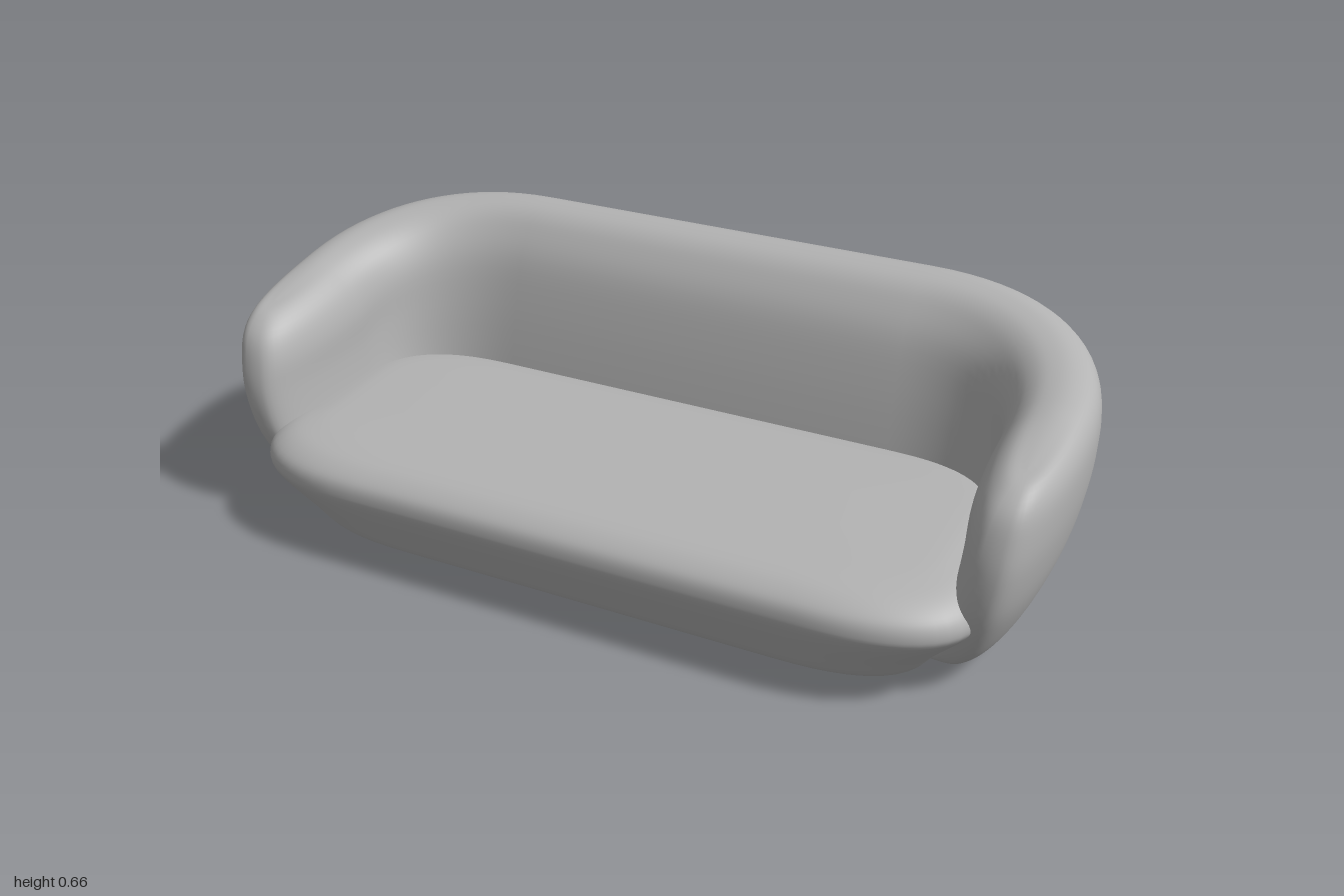
import * as THREE from 'three';
import { mergeVertices } from 'three/addons/utils/BufferGeometryUtils.js';

// Skin a list of closed rings (equal point counts) into a smooth surface
function skin(rings) {
  const n = rings[0].length, pos = [], idx = [];
  rings.forEach(r => r.forEach(p => pos.push(p.x, p.y, p.z)));
  for (let j = 0; j < rings.length - 1; j++) {
    for (let i = 0; i < n; i++) {
      const k = (i + 1) % n;
      const a = j * n + i, b = j * n + k, c = a + n, d = b + n;
      idx.push(a, c, b, b, c, d);
    }
  }
  let g = new THREE.BufferGeometry();
  g.setAttribute('position', new THREE.Float32BufferAttribute(pos, 3));
  g.setIndex(idx);
  g = mergeVertices(g, 1e-4);
  g.computeVertexNormals();
  return g;
}

const mix = THREE.MathUtils.lerp;
const pow = (v, e) => Math.sign(v) * Math.pow(Math.abs(v), e);

// Shell levels, bottom to top.
// Backrest: [y, outer z, inner z]; arm: [y, outer x, inner x, front end z]
const BACK = [
  [0, -0.225, -0.12], [0.02, -0.255, -0.13], [0.14, -0.33, -0.16],
  [0.30, -0.402, -0.185], [0.43, -0.432, -0.21], [0.54, -0.439, -0.24],
  [0.61, -0.434, -0.28], [0.645, -0.418, -0.315], [0.66, -0.385, -0.355],
];
const ARM = [
  [0.02, 0.82, 0.70, 0.17], [0.05, 0.87, 0.72, 0.235], [0.12, 0.92, 0.75, 0.28],
  [0.22, 0.965, 0.785, 0.318], [0.32, 0.99, 0.80, 0.328], [0.40, 0.999, 0.805, 0.318],
  [0.46, 0.995, 0.825, 0.295], [0.50, 0.975, 0.86, 0.25], [0.515, 0.94, 0.90, 0.2],
];
const XC = 0.5, ZC = 0.02; // where the corner bend starts and ends

// Section of the shell: bend is the corner angle, reach runs 0..1 along the arm
function shellSection(bend, reach, side) {
  const e = 2 / 2.3;
  const cx = pow(Math.sin(bend), e), cz = pow(Math.cos(bend), e);
  const zTop = reach > 0 ? ZC + reach * 0.18 : ZC - cz * (ZC + 0.37);
  const w = Math.pow(THREE.MathUtils.clamp((zTop + 0.37) / 0.57, 0, 1), 0.9);
  const squash = Math.pow(Math.max(0, 1 - reach * reach), 0.35);
  const point = (k, inner) => {
    const [yb, zo, zi] = BACK[k], [ya, xo, xi, end] = ARM[k];
    const mid = (xo + xi) / 2;
    const armX = mid + ((inner ? xi : xo) - mid) * squash;
    const x = XC + cx * (armX - XC);
    const z = reach > 0 ? mix(ZC, end, reach) : ZC - cz * (ZC - (inner ? zi : zo));
    return new THREE.Vector3(side * x, mix(yb, ya, w), z);
  };
  const loop = [];
  for (let k = 0; k < BACK.length; k++) loop.push(point(k, false));
  for (let k = BACK.length - 1; k >= 0; k--) loop.push(point(k, true));
  const curve = new THREE.CatmullRomCurve3(loop, true, 'catmullrom', 0.5);
  return curve.getPoints(72).slice(0, 72);
}

function shellGeometry() {
  const half = side => {
    const list = [];
    for (let i = 16; i > 0; i--) {
      list.push(shellSection(Math.PI / 2, i === 16 ? 1 : Math.sin((i / 16) * Math.PI / 2), side));
    }
    for (let i = 20; i >= 0; i--) list.push(shellSection((i / 20) * Math.PI / 2, 0, side));
    return list;
  };
  return skin([...half(1), ...half(-1).reverse()]);
}

// Seat profile: [half width, y, front z]
const SEAT = [
  [0, 0.02, 0.1], [0.4, 0.02, 0.24], [0.70, 0.022, 0.34], [0.75, 0.026, 0.365],
  [0.80, 0.09, 0.40], [0.865, 0.165, 0.434], [0.88, 0.2, 0.44], [0.87, 0.235, 0.431],
  [0.84, 0.262, 0.40], [0.79, 0.275, 0.36], [0.70, 0.281, 0.30], [0.4, 0.285, 0.2], [0, 0.286, 0.1],
];

function seatGeometry() {
  const profile = new THREE.CatmullRomCurve3(
    SEAT.map(p => new THREE.Vector3(...p)), false, 'catmullrom', 0.5).getPoints(60);
  const rings = profile.map(({ x, y, z }) => {
    const a = Math.max(0, x), depth = Math.max(0, z - 0.1);
    const xc = Math.min(0.55, a * 0.62), zc = depth * 0.42;
    const slope = 0.05 * (1 - y / 0.14);
    const ring = [];
    for (let q = 0; q < 4; q++) {
      const sx = q === 0 || q === 3 ? 1 : -1, sz = q < 2 ? 1 : -1;
      for (let i = 0; i <= 12; i++) {
        const t = (q + i / 12) * Math.PI / 2;
        const px = sx * xc + (a - xc) * pow(Math.cos(t), 0.8);
        const pz = sz * zc + (depth - zc) * pow(Math.sin(t), 0.8);
        ring.push(new THREE.Vector3(px, y + slope * pz, 0.1 + pz));
      }
    }
    return ring;
  });
  return skin(rings);
}

export function createModel() {
  const group = new THREE.Group();
  group.name = 'sofa';
  const fabric = new THREE.MeshStandardMaterial({ color: 0xb3b3b3 });
  fabric.name = 'greyFabric';

  // Backrest and both arms as one wrapped shell
  const shell = new THREE.Mesh(shellGeometry(), fabric);
  shell.name = 'backrestAndArms';

  // Pillow-like seat tucked inside the shell
  const seat = new THREE.Mesh(seatGeometry(), fabric);
  seat.name = 'seat';

  group.add(shell, seat);
  return group;
}
